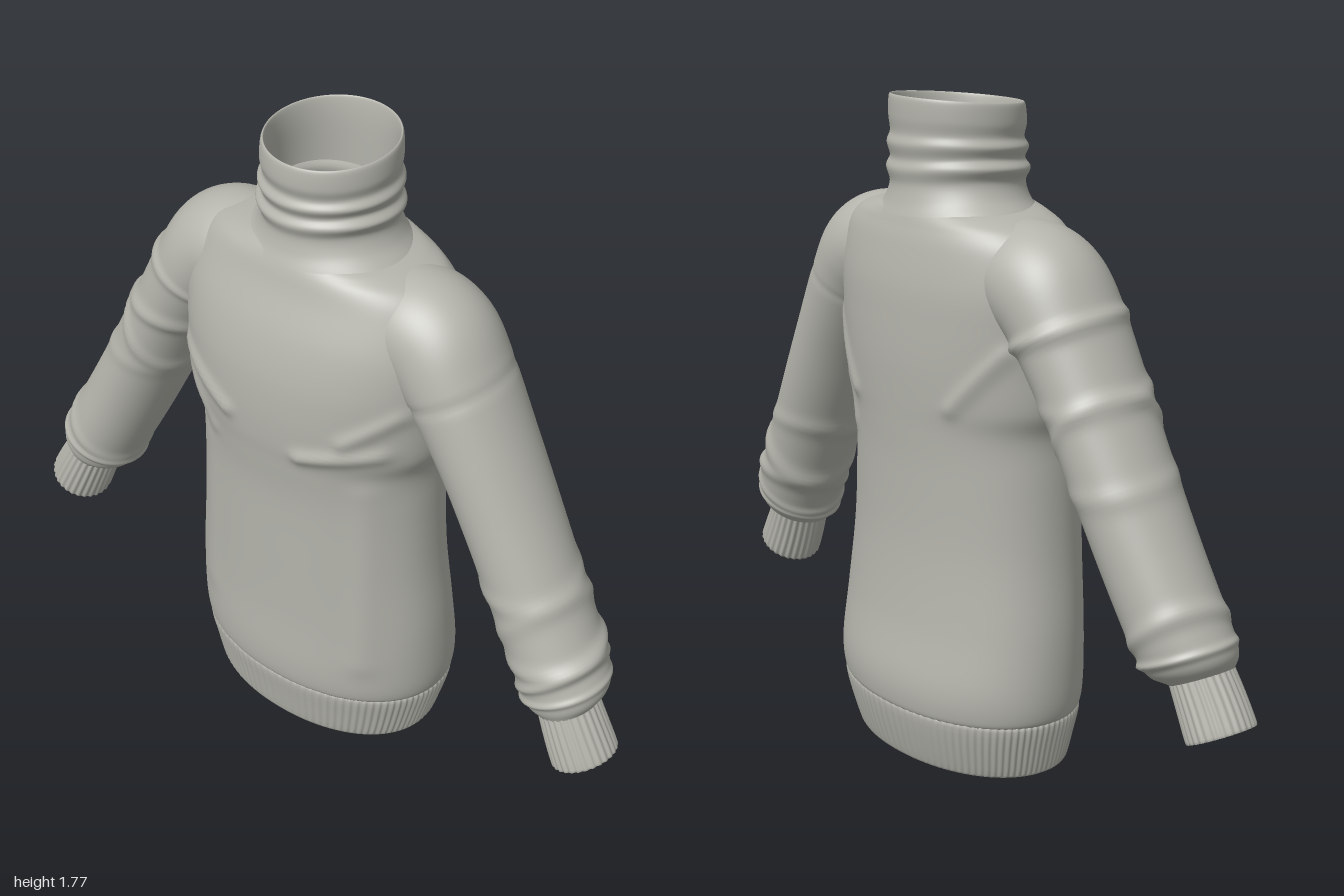
import * as THREE from 'three';

const TAU = Math.PI * 2;
const bump = (d, w) => Math.exp(-(d * d) / (w * w));

// Smoothly resample a short list of cross-sections
function sampler(rows) {
  const n = rows[0].length;
  const it = new THREE.CubicInterpolant(rows.map((_, i) => i), rows.flat(), n, new Float32Array(n));
  return t => Array.from(it.evaluate(Math.min(Math.max(t, 0), rows.length - 1)));
}

// Closed-ring surface; point(t, angle) returns [x, y, z]
function skin(tMax, rings, segs, point) {
  const pos = [], idx = [];
  for (let r = 0; r <= rings; r++)
    for (let c = 0; c < segs; c++) pos.push(...point((r / rings) * tMax, (c / segs) * TAU));
  for (let r = 0; r < rings; r++)
    for (let c = 0; c < segs; c++) {
      const a = r * segs + c, b = r * segs + (c + 1) % segs;
      idx.push(a, a + segs, b, b, a + segs, b + segs);
    }
  const g = new THREE.BufferGeometry();
  g.setAttribute('position', new THREE.Float32BufferAttribute(pos, 3));
  g.setIndex(idx);
  g.computeVertexNormals();
  return g;
}

// Horizontal sections [y, half width, front z, back z], shaped by a rule
function stack(rows, rings, segs, power, shape) {
  const at = sampler(rows);
  const sq = v => Math.sign(v) * Math.pow(Math.abs(v), 2 / power);
  return skin(rows.length - 1, rings, segs, (t, a) => {
    const [y, w, zf, zb] = at(t);
    const p = [w * sq(Math.cos(a)), y, (zf + zb) / 2 + (zf - zb) / 2 * sq(Math.sin(a))];
    shape(p, a, t);
    return p;
  });
}

// Sections [x, y, z, radius across, radius in depth] along an arm on one side
function limb(rows, side, rings, segs, swell, fixedDir) {
  const at = sampler(rows);
  return skin(rows.length - 1, rings, segs, (t, a) => {
    const [x, y, z, ru, rv] = at(t);
    const p = at(t - 0.02), q = at(t + 0.02);
    const d = fixedDir || [q[0] - p[0], q[1] - p[1]];
    const l = Math.hypot(d[0], d[1]), k = swell(t, a);
    const u = (ru + k) * Math.cos(a), v = (rv + k) * Math.sin(a);
    return [side * (x - d[1] / l * u), y + d[0] / l * u, z - side * v];
  });
}

// Distance from a point to a crease line
function lineDist(x, y, [x1, y1, x2, y2]) {
  const dx = x2 - x1, dy = y2 - y1;
  const k = THREE.MathUtils.clamp(((x - x1) * dx + (y - y1) * dy) / (dx * dx + dy * dy), 0, 1);
  return Math.hypot(x - x1 - dx * k, y - y1 - dy * k);
}

export function createModel() {
  const model = new THREE.Group();
  model.name = 'turtleneckSweater';
  const wool = new THREE.MeshStandardMaterial({ color: 0xb4b4ac, side: THREE.DoubleSide });
  wool.name = 'grey wool';
  const add = (name, geometry) => {
    const m = new THREE.Mesh(geometry, wool);
    m.name = name;
    model.add(m);
  };

  // Torso with diagonal chest creases and soft vertical folds
  // [x1, y1, x2, y2, width, height]
  const frontFolds = [
    [-0.33, 1.11, -0.12, 1.03, 0.022, 0.014], [-0.34, 1.06, -0.2, 0.92, 0.025, 0.008],
    [0.36, 1.15, 0.24, 1.06, 0.022, 0.012], [0.32, 1.03, 0.12, 0.98, 0.022, 0.014],
    [0.28, 0.88, 0.28, 0.3, 0.04, 0.008], [-0.24, 0.85, -0.26, 0.35, 0.04, 0.006]
  ];
  const backFolds = [
    [-0.34, 1.16, -0.2, 1.0, 0.022, 0.01], [0.34, 1.16, 0.2, 0.98, 0.022, 0.011],
    [0.34, 1.04, 0.24, 0.88, 0.025, 0.008]
  ];
  add('torso', stack([
    [0.145, 0.375, 0.235, -0.255], [0.17, 0.393, 0.25, -0.268], [0.25, 0.4, 0.255, -0.27],
    [0.4, 0.395, 0.25, -0.245], [0.6, 0.375, 0.25, -0.227], [0.8, 0.364, 0.252, -0.225],
    [0.92, 0.362, 0.262, -0.23], [1.0, 0.39, 0.27, -0.235], [1.1, 0.4, 0.272, -0.24],
    [1.2, 0.41, 0.264, -0.24], [1.3, 0.41, 0.24, -0.236], [1.4, 0.385, 0.2, -0.22],
    [1.45, 0.34, 0.183, -0.207], [1.475, 0.275, 0.173, -0.2], [1.49, 0.21, 0.165, -0.195]
  ], 112, 144, 2.1, p => {
    const s = Math.sign(p[2] + 0.01);
    for (const f of s > 0 ? frontFolds : backFolds)
      p[2] += s * f[5] * bump(lineDist(p[0], p[1], f), f[4]);
  }));

  // Ribbed hem, turned in at the bottom
  add('hem', stack([
    [0.09, 0.355, 0.222, -0.236], [0.005, 0.336, 0.208, -0.214], [0, 0.342, 0.215, -0.221],
    [0.005, 0.35, 0.222, -0.228], [0.08, 0.372, 0.235, -0.25],
    [0.145, 0.388, 0.246, -0.264], [0.16, 0.38, 0.24, -0.258]
  ], 18, 480, 2.1, (p, a, t) => {
    if (t < 3) return;
    const k = 1 + 0.006 * Math.cos(a * 96);
    p[0] *= k;
    p[2] *= k;
  }));

  // Slouched collar with a rim that rises toward the back
  add('collar', stack([
    [1.475, 0.235, 0.18, -0.21], [1.51, 0.196, 0.165, -0.198], [1.55, 0.178, 0.157, -0.19],
    [1.585, 0.193, 0.166, -0.196], [1.61, 0.177, 0.154, -0.189], [1.64, 0.187, 0.163, -0.196],
    [1.665, 0.175, 0.152, -0.189], [1.7, 0.179, 0.159, -0.193], [1.745, 0.175, 0.156, -0.193],
    [1.748, 0.167, 0.148, -0.186], [1.69, 0.162, 0.142, -0.18], [1.58, 0.165, 0.145, -0.18]
  ], 88, 96, 2, (p, a) => {
    const up = THREE.MathUtils.smoothstep(p[1], 1.55, 1.73);
    p[1] += -0.085 * up * p[2] + 0.008 * (1 - up) * Math.sin(2 * a + 0.6);
  }));

  // Sleeves, each with its own folds: [position, height, width, tilt]
  const sleeveRows = [
    [0.19, 1.33, -0.01, 0.12, 0.13], [0.27, 1.335, -0.01, 0.145, 0.155],
    [0.35, 1.305, -0.01, 0.152, 0.16], [0.42, 1.225, -0.005, 0.135, 0.158],
    [0.517, 1.065, 0, 0.12, 0.15], [0.61, 0.89, 0.005, 0.118, 0.143],
    [0.71, 0.7, 0.015, 0.12, 0.136], [0.8, 0.535, 0.028, 0.12, 0.13],
    [0.84, 0.46, 0.04, 0.115, 0.115], [0.857, 0.425, 0.055, 0.08, 0.085]
  ];
  const sleeveFolds = {
    left: [[3.1, -0.004, 0.08, 0.1], [5.75, 0.007, 0.12, 0.25], [6.25, 0.01, 0.13, -0.2],
      [6.75, 0.012, 0.13, 0.2], [7.2, 0.011, 0.12, -0.15], [7.7, 0.01, 0.14, 0.1]],
    right: [[3.05, 0.013, 0.1, 0.15], [4.0, 0.01, 0.12, 0.25], [4.45, 0.009, 0.1, -0.3],
      [5.1, 0.006, 0.12, 0.2], [7.0, 0.009, 0.14, -0.2], [7.6, 0.012, 0.15, 0.15]]
  };
  const cuffRows = [
    [0.845, 0.445, 0.055, 0.076, 0.084], [0.885, 0.365, 0.06, 0.084, 0.088],
    [0.919, 0.297, 0.062, 0.088, 0.09], [0.921, 0.294, 0.062, 0.083, 0.085],
    [0.918, 0.298, 0.062, 0.078, 0.08], [0.88, 0.375, 0.06, 0.074, 0.078]
  ];
  for (const [name, side] of [['left', 1], ['right', -1]]) {
    add(name + 'Sleeve', limb(sleeveRows, side, 135, 72, (t, a) => {
      let k = 0;
      for (const [pos, h, w, tilt] of sleeveFolds[name])
        k += h * bump(t - pos - tilt * Math.cos(a + 0.5), w) * (0.75 + 0.25 * Math.sin(a + pos * 3));
      return k;
    }));
    // Ribbed cuff
    add(name + 'Cuff', limb(cuffRows, side, 15, 168,
      (t, a) => 0.002 * Math.cos(a * 28), [0.45, -0.89]));
  }
  return model;
}
